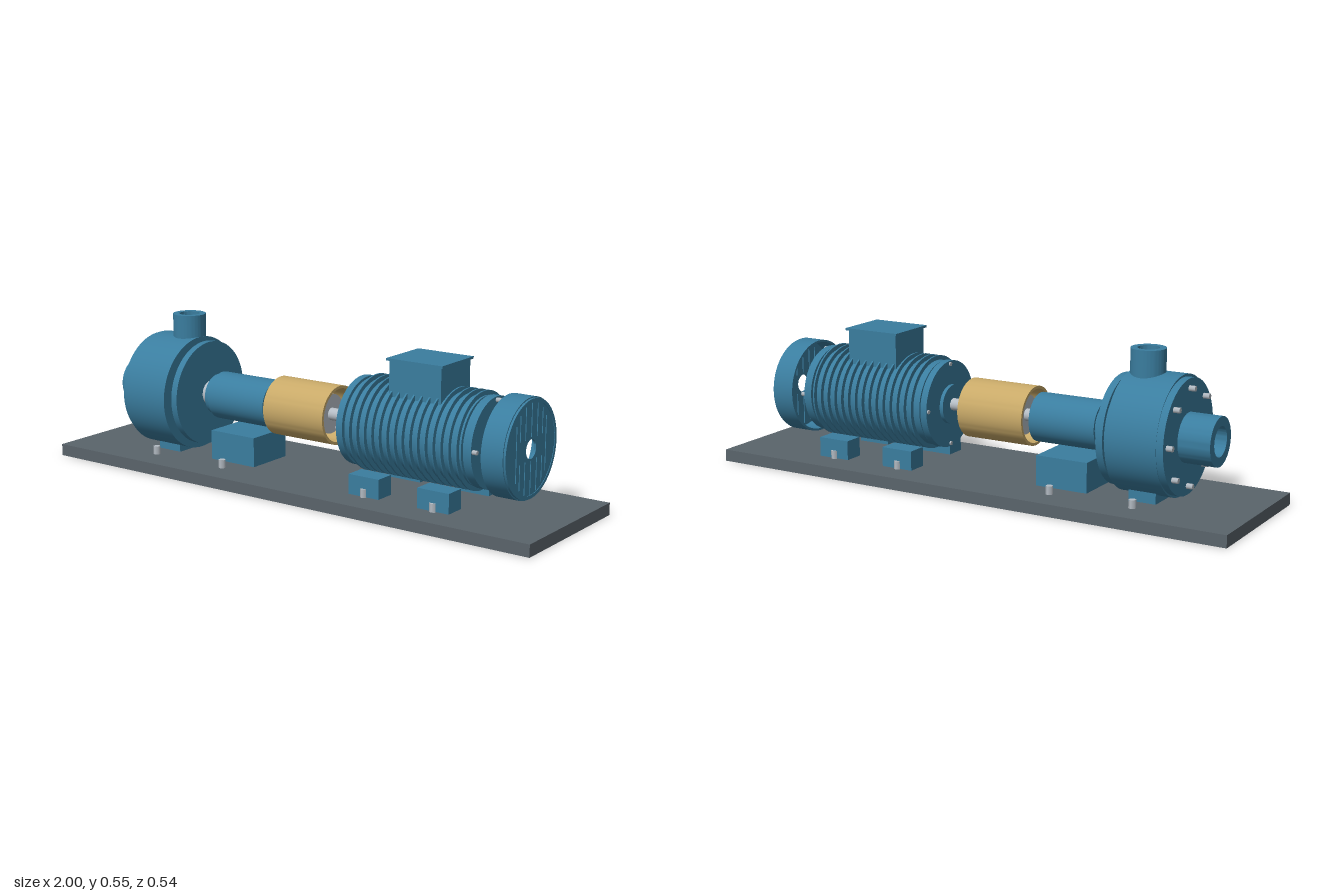
import * as THREE from 'three';
import { toCreasedNormals } from 'three/addons/utils/BufferGeometryUtils.js';

const AXIS = 0.262; // shaft height
const mat = (color) => new THREE.MeshStandardMaterial({ color });

export function createModel() {
  const model = new THREE.Group();
  const blue = mat(0x3a7d9f), steel = mat(0xb4bcc4), dark = mat(0x33383b);
  const tan = mat(0xc8a968), slate = mat(0x5a646b);

  const group = (name) => {
    const g = new THREE.Group();
    g.name = name;
    model.add(g);
    return g;
  };
  const add = (parent, name, geo, material, x = 0, y = 0, z = 0) => {
    const m = new THREE.Mesh(geo, material);
    m.name = name;
    m.position.set(x, y, z);
    parent.add(m);
    return m;
  };
  // box given by its limits
  const box = (parent, name, material, x0, x1, y0, y1, z0, z1) =>
    add(parent, name, new THREE.BoxGeometry(x1 - x0, y1 - y0, z1 - z0), material,
      (x0 + x1) / 2, (y0 + y1) / 2, (z0 + z1) / 2);
  // solid disc or rod along the shaft axis
  const rod = (parent, name, material, x0, x1, r, y = AXIS, z = 0, sides = 64) =>
    add(parent, name, new THREE.CylinderGeometry(r, r, x1 - x0, sides).rotateZ(-Math.PI / 2),
      material, (x0 + x1) / 2, y, z);
  // hollow tube standing on y
  const tubeGeo = (a, b, ro, ri) => toCreasedNormals(new THREE.LatheGeometry(
    [[ri, b], [ri, a], [ro, a], [ro, b], [ri, b]].map(([r, h]) => new THREE.Vector2(r, h)), 64), 0.6);
  const pipe = (parent, name, material, x0, x1, ro, ri) =>
    add(parent, name, tubeGeo(x0, x1, ro, ri).rotateZ(-Math.PI / 2), material, 0, AXIS);
  // circle of small bolts
  const boltRing = (parent, x0, x1, count, radius, r) => {
    for (let i = 0; i < count; i++) {
      const a = (i / count) * Math.PI * 2;
      rod(parent, 'flangeBolt', steel, x0, x1, r, AXIS + radius * Math.cos(a), radius * Math.sin(a), 6);
    }
  };

  // Base plate and hold-down bolts
  box(model, 'basePlate', slate, -1, 1, 0, 0.043, -0.27, 0.27);
  for (const x of [-0.62, -0.31, 0.305, 0.58])
    for (const z of [-0.162, 0.162])
      add(model, 'anchorBolt', new THREE.CylinderGeometry(0.013, 0.013, 0.03, 6), steel, x, 0.058, z);

  // Pump: slightly off-centre volute, cover plates, inlet and outlet
  const pump = group('pump');
  rod(pump, 'voluteCasing', blue, -0.715, -0.53, 0.207, 0.261, 0.012, 96);
  rod(pump, 'frontCover', blue, -0.74, -0.715, 0.198, AXIS, 0.004, 96);
  rod(pump, 'casingNeck', blue, -0.53, -0.52, 0.178);
  rod(pump, 'backPlate', blue, -0.52, -0.495, 0.19, AXIS, 0, 96);
  pipe(pump, 'suctionPipe', blue, -0.855, -0.735, 0.085, 0.052);
  rod(pump, 'suctionBore', dark, -0.745, -0.741, 0.053);
  add(pump, 'dischargePipe', tubeGeo(0.42, 0.548, 0.06, 0.037), blue, -0.59);
  boltRing(pump, -0.763, -0.738, 8, 0.166, 0.01);
  box(pump, 'pumpFoot', blue, -0.67, -0.57, 0.043, 0.09, -0.09, 0.09);

  // Shaft seal between pump and bearing
  const seal = group('shaftSeal');
  rod(seal, 'glandBody', steel, -0.495, -0.48, 0.045);
  rod(seal, 'glandSleeve', dark, -0.48, -0.465, 0.035);
  rod(seal, 'glandRing', steel, -0.468, -0.462, 0.055);
  rod(seal, 'glandFlange', blue, -0.46, -0.45, 0.074);

  // Bearing housing on its pedestal
  const bearing = group('bearing');
  rod(bearing, 'bearingCap', blue, -0.45, -0.43, 0.078);
  rod(bearing, 'bearingHousing', blue, -0.435, -0.185, 0.086);
  box(bearing, 'bearingPedestal', blue, -0.415, -0.22, 0.043, 0.15, -0.093, 0.093);

  // Shaft, coupling and open guard
  const drive = group('drive');
  rod(drive, 'shaft', steel, -0.5, 0.77, 0.022, AXIS, 0, 32);
  rod(drive, 'pumpHub', steel, -0.13, -0.045, 0.07);
  rod(drive, 'couplingInsert', dark, -0.045, -0.03, 0.066);
  rod(drive, 'motorHub', steel, -0.03, 0.055, 0.07);
  pipe(drive, 'couplingGuard', tan, -0.167, 0.09, 0.105, 0.095);

  // Motor body with ring fins and end shields
  const motor = group('motor');
  rod(motor, 'shaftCollar', blue, 0.172, 0.19, 0.07);
  rod(motor, 'driveEndShield', blue, 0.185, 0.21, 0.156);
  rod(motor, 'motorCore', blue, 0.2, 0.7, 0.14);
  rod(motor, 'motorBody', blue, 0.217, 0.675, 0.152);
  rod(motor, 'rearEndShield', blue, 0.685, 0.715, 0.156);
  rod(motor, 'rearSeal', dark, 0.715, 0.722, 0.034);
  for (let i = 0; i < 15; i++)
    rod(motor, 'coolingFin', blue, 0.242 + i * 0.03, 0.248 + i * 0.03, 0.168);
  boltRing(motor, 0.18, 0.19, 4, 0.145, 0.008);
  boltRing(motor, 0.71, 0.733, 4, 0.145, 0.008);
  for (const x of [0.245, 0.52])
    for (const s of [-1, 1])
      box(motor, 'motorFoot', blue, x, x + 0.122, 0.045, 0.115, s * 0.1275 - 0.0375, s * 0.1275 + 0.0375);
  box(motor, 'terminalBox', blue, 0.355, 0.558, 0.38, 0.507, -0.09, 0.09);
  box(motor, 'terminalLid', blue, 0.347, 0.566, 0.507, 0.515, -0.098, 0.098);

  // Fan cover: open cup whose end disc has a hub hole and vent slots
  const cover = group('fanCover');
  pipe(cover, 'coverRim', blue, 0.76, 0.84, 0.171, 0.163);
  pipe(cover, 'coverLip', blue, 0.84, 0.848, 0.167, 0.155);
  const disc = new THREE.Shape().absarc(0, 0, 0.164, 0, Math.PI * 2);
  disc.holes.push(new THREE.Path().absarc(0, 0, 0.033, 0, Math.PI * 2, true));
  const slot = (u, v0, v1) => disc.holes.push(new THREE.Path([
    [u - 0.0025, v0], [u - 0.0025, v1], [u + 0.0025, v1], [u + 0.0025, v0],
  ].map(([a, b]) => new THREE.Vector2(a, b))));
  for (const [u, v0, v1] of [[-0.072, 0.036, 0.125], [-0.038, 0.036, 0.147], [0, 0.04, 0.155],
    [0.038, 0.036, 0.147], [0.072, 0.036, 0.125]]) {
    slot(u, v0, v1);
    slot(u, -v1, -v0);
  }
  for (const u of [-0.096, 0.096]) slot(u, -0.094, 0.094);
  const discGeo = new THREE.ExtrudeGeometry(disc, { depth: 0.008, bevelEnabled: false, curveSegments: 48 });
  add(cover, 'ventDisc', toCreasedNormals(discGeo.rotateY(Math.PI / 2), 0.6), blue, 0.838, AXIS);

  return model;
}
